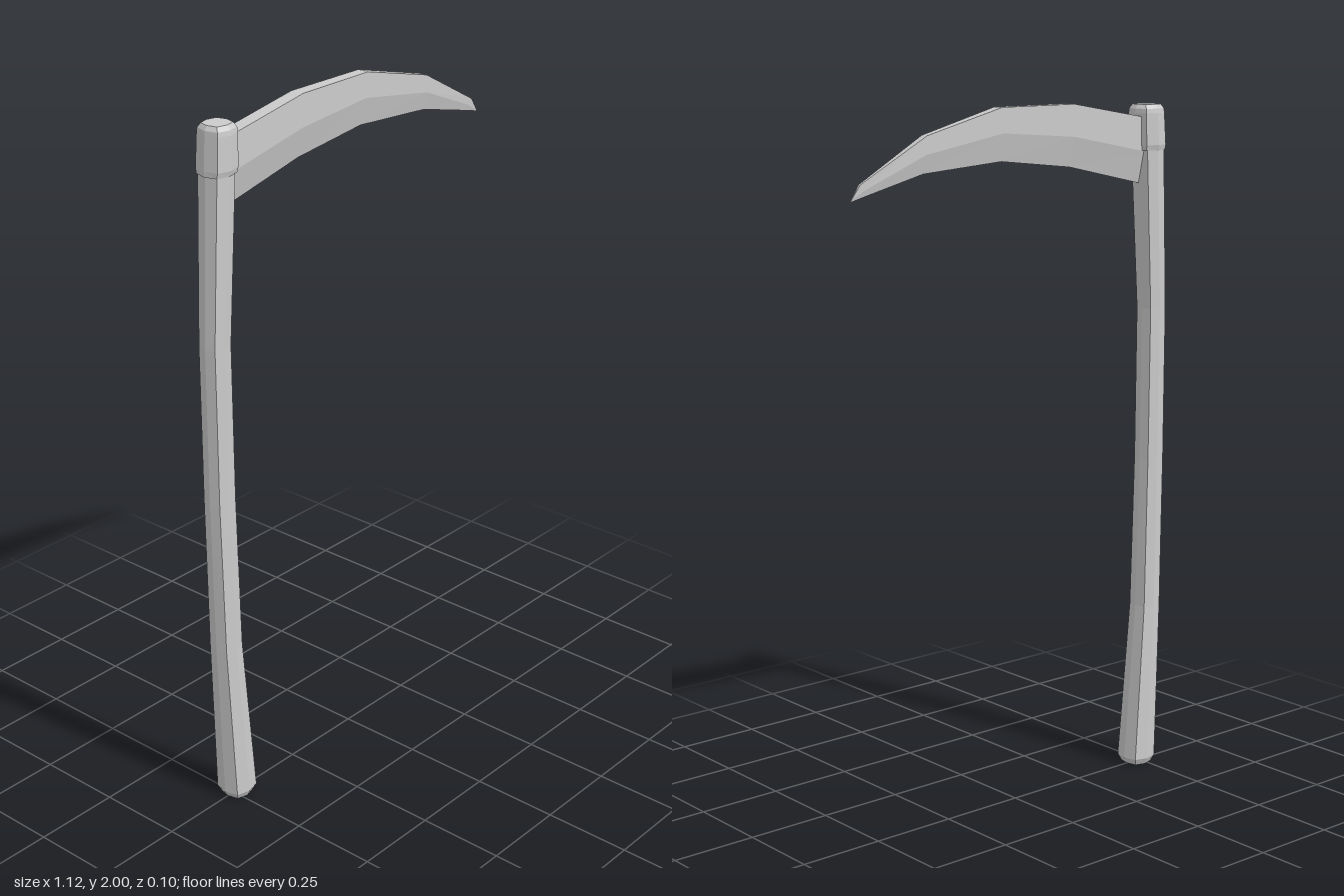
import * as THREE from 'three';

const material = new THREE.MeshStandardMaterial({ color: 0xcccccc, flatShading: true });

// Skins a list of equal-length rings and closes both ends
function loft(name, rings) {
  const pos = [];
  const tri = (...pts) => pts.forEach((p) => pos.push(...p));
  const n = rings[0].length;
  for (let i = 0; i < rings.length - 1; i++) {
    for (let j = 0; j < n; j++) {
      const k = (j + 1) % n;
      const a = rings[i][j], b = rings[i][k], c = rings[i + 1][k], d = rings[i + 1][j];
      tri(a, d, c);
      tri(a, c, b);
    }
  }
  const first = rings[0], last = rings[rings.length - 1];
  for (let j = 1; j < n - 1; j++) {
    tri(first[0], first[j], first[j + 1]);
    tri(last[0], last[j + 1], last[j]);
  }
  const geometry = new THREE.BufferGeometry();
  geometry.setAttribute('position', new THREE.Float32BufferAttribute(pos, 3));
  geometry.computeVertexNormals();
  const mesh = new THREE.Mesh(geometry, material);
  mesh.name = name;
  return mesh;
}

// Softly squared eight-sided section: [y, centre x, half width, half depth]
const OUTLINE = [[1, 0], [0.8, 0.78], [0, 1], [-0.8, 0.78], [-1, 0], [-0.8, -0.78], [0, -1], [0.8, -0.78]];
const section = ([y, cx, rx, rz]) => OUTLINE.map(([u, v]) => [cx + u * rx, y, v * rz]);

export function createModel() {
  const model = new THREE.Group();
  model.name = 'scythe';

  // Gently bowed wooden handle with a bevelled foot
  model.add(loft('handle', [
    [0.005, -0.486, 0.038, 0.04],
    [0.025, -0.486, 0.049, 0.05],
    [0.5, -0.514, 0.039, 0.04],
    [0.95, -0.523, 0.038, 0.037],
    [1.4, -0.525, 0.037, 0.037],
    [1.87, -0.502, 0.041, 0.043],
    [1.96, -0.498, 0.041, 0.043],
  ].map(section)));

  // Collar that grips the blade, bevelled at the top
  model.add(loft('collar', [
    [1.86, -0.501, 0.046, 0.045],
    [1.875, -0.5, 0.047, 0.049],
    [1.965, -0.496, 0.045, 0.047],
    [1.978, -0.496, 0.044, 0.045],
    [1.99, -0.496, 0.036, 0.036],
  ].map(section)));

  // Curved blade: flat spine, full thickness to the middle, sharp lower edge
  // [edge x, edge y, middle x, middle y, spine x, spine y, half thickness]
  const stations = [
    [-0.48, 1.763, -0.48, 1.855, -0.48, 1.952, 0.021],
    [-0.2, 1.825, -0.2, 1.91, -0.2, 2.0, 0.02],
    [0.05, 1.853, 0.055, 1.93, 0.06, 2.0, 0.017],
    [0.32, 1.834, 0.318, 1.885, 0.315, 1.935, 0.012],
    [0.51, 1.787, 0.515, 1.803, 0.53, 1.818, 0.004],
    [0.56, 1.774, 0.558, 1.778, 0.555, 1.783, 0.001],
  ];
  model.add(loft('blade', stations.map(([ex, ey, mx, my, sx, sy, t]) => [
    [mx, my, t], [sx, sy, t], [sx, sy, -t], [mx, my, -t], [ex, ey, 0],
  ])));

  return model;
}
